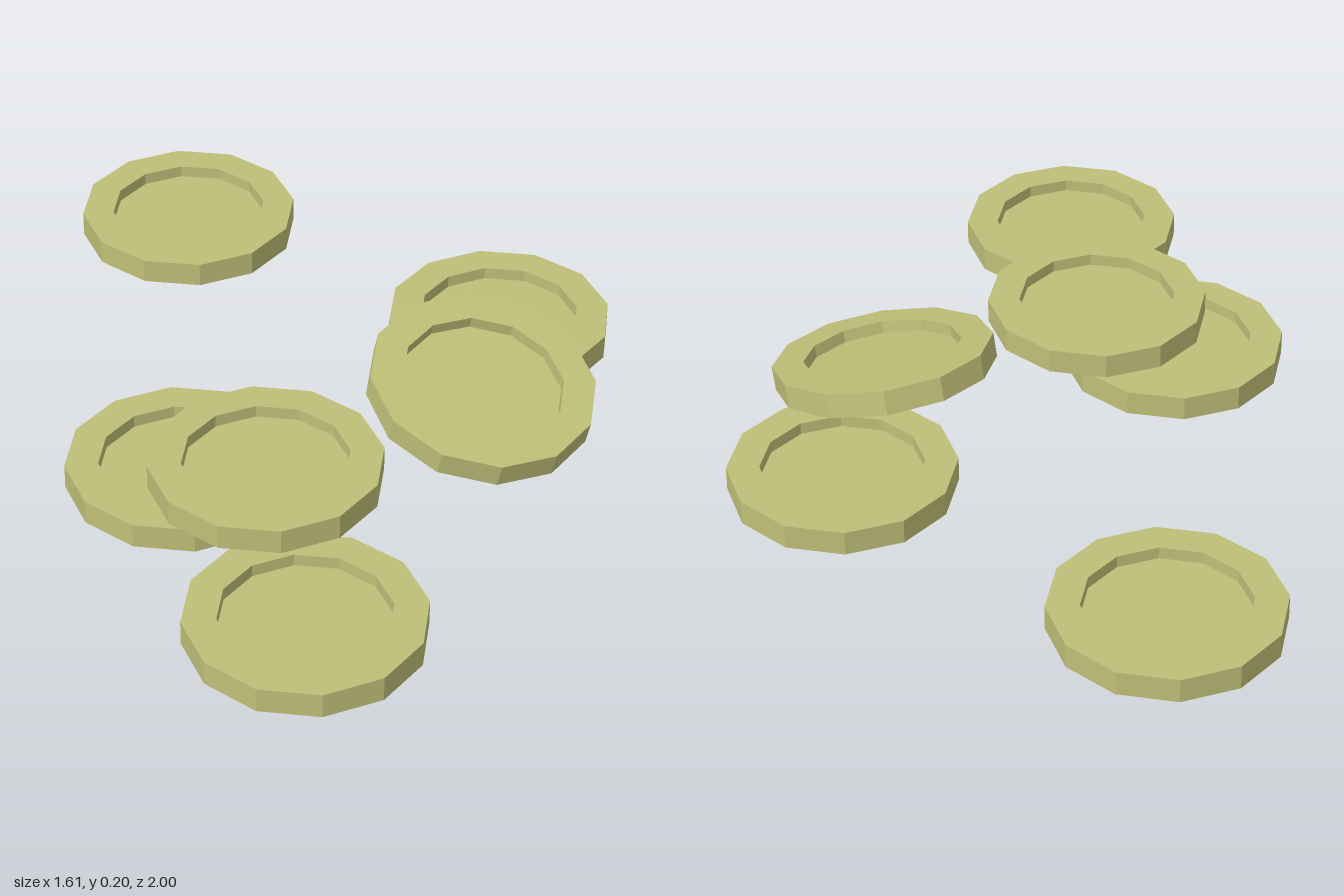
import * as THREE from 'three';

const RADIUS = 0.272, INNER = 0.194, HEIGHT = 0.061, FLOOR = 0.031, SIDES = 12;

// Coin profile from the bottom centre, around the rim, to the recessed top centre
function coinGeometry() {
  const profile = [
    [0, 0], [RADIUS, 0], [RADIUS, HEIGHT],
    [INNER, HEIGHT], [INNER, FLOOR], [0, FLOOR],
  ].map(([r, y]) => new THREE.Vector2(r, y));
  return new THREE.LatheGeometry(profile, SIDES);
}

export function createModel() {
  const group = new THREE.Group();
  group.name = 'coins';
  const material = new THREE.MeshStandardMaterial({ color: 0xbfbf78, flatShading: true });
  const geometry = coinGeometry();

  // name, centre of the base (x, y, z), tilt about x
  const coins = [
    ['backCoin', 0.204, 0, -0.728, 0],
    ['rightLowerCoin', -0.425, 0, 0.12, 0],
    ['rightStackedCoin', -0.32, HEIGHT, 0.301, 0],
    ['frontCoin', -0.533, 0, 0.726, 0],
    ['leftLowerCoin', 0.53, 0, 0.12, 0],
    ['leaningCoin', 0.257, 0.073, 0.367, 0.252],
  ];
  for (const [name, x, y, z, tilt] of coins) {
    const coin = new THREE.Mesh(geometry, material);
    coin.name = name;
    coin.position.set(x, y, z);
    coin.rotation.x = tilt;
    group.add(coin);
  }
  return group;
}
